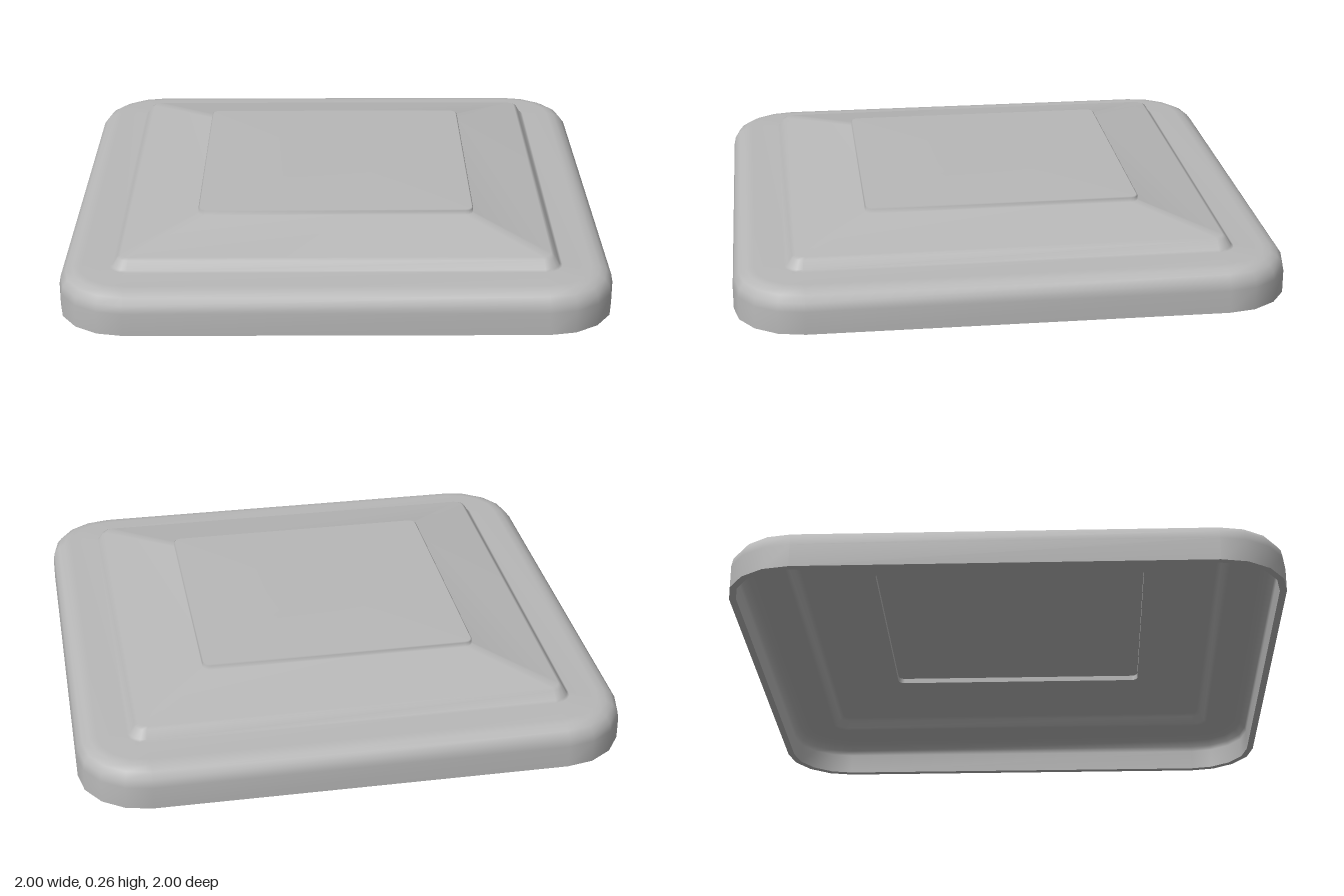
import * as THREE from 'three';

const CORNER_STEPS = 4;

// One rounded-square loop: half width, corner radius, height
function ring([half, radius, y]) {
  const points = [];
  for (let q = 0; q < 4; q++) {
    const mid = Math.PI / 4 + q * Math.PI / 2;
    const cx = Math.sign(Math.cos(mid)) * (half - radius);
    const cz = Math.sign(Math.sin(mid)) * (half - radius);
    for (let s = 0; s <= CORNER_STEPS; s++) {
      const a = (q + s / CORNER_STEPS) * Math.PI / 2;
      points.push(cx + radius * Math.cos(a), y, cz + radius * Math.sin(a));
    }
  }
  return points;
}

// Smooth skin joining successive loops
function skin(name, profile, material) {
  const n = 4 * (CORNER_STEPS + 1);
  const index = [];
  for (let k = 0; k < profile.length - 1; k++) {
    for (let i = 0; i < n; i++) {
      const j = (i + 1) % n;
      const a = k * n + i, b = k * n + j, c = a + n, d = b + n;
      index.push(a, c, b, b, c, d);
    }
  }
  const geometry = new THREE.BufferGeometry();
  geometry.setAttribute('position', new THREE.Float32BufferAttribute(profile.flatMap(ring), 3));
  geometry.setIndex(index);
  geometry.computeVertexNormals();
  const mesh = new THREE.Mesh(geometry, material);
  mesh.name = name;
  return mesh;
}

export function createModel() {
  const group = new THREE.Group();
  group.name = 'postCap';
  const grey = new THREE.MeshStandardMaterial({ color: 0xb8b8b8 });
  grey.name = 'grey';

  // Outside: skirt, rounded shoulder, ledge, raised slope and top panel
  group.add(skin('outerShell', [
    [1, 0.25, 0], [1, 0.25, 0.085], [0.994, 0.244, 0.115], [0.976, 0.226, 0.138],
    [0.95, 0.2, 0.151], [0.92, 0.17, 0.155], [0.815, 0.065, 0.155], [0.805, 0.055, 0.16],
    [0.787, 0.04, 0.19], [0.775, 0.035, 0.197], [0.51, 0.03, 0.243], [0.51, 0.03, 0.26],
    [0.505, 0.025, 0.264], [0.2, 0.02, 0.265], [0, 0, 0.265],
  ], grey));

  // Thin bottom edge of the skirt
  group.add(skin('bottomLip', [[0.975, 0.225, 0], [1, 0.25, 0]], grey));

  // Hollow underside
  group.add(skin('innerShell', [
    [0.505, 0.025, 0.22], [0.765, 0.03, 0.174], [0.78, 0.035, 0.165], [0.795, 0.045, 0.138],
    [0.81, 0.06, 0.133], [0.91, 0.16, 0.133], [0.95, 0.2, 0.12], [0.97, 0.22, 0.1],
    [0.975, 0.225, 0.08], [0.975, 0.225, 0],
  ], grey));
  group.add(skin('innerStep', [[0.505, 0.025, 0.24], [0.505, 0.025, 0.22]], grey));
  group.add(skin('innerCeiling', [[0, 0, 0.24], [0.505, 0.025, 0.24]], grey));

  return group;
}
